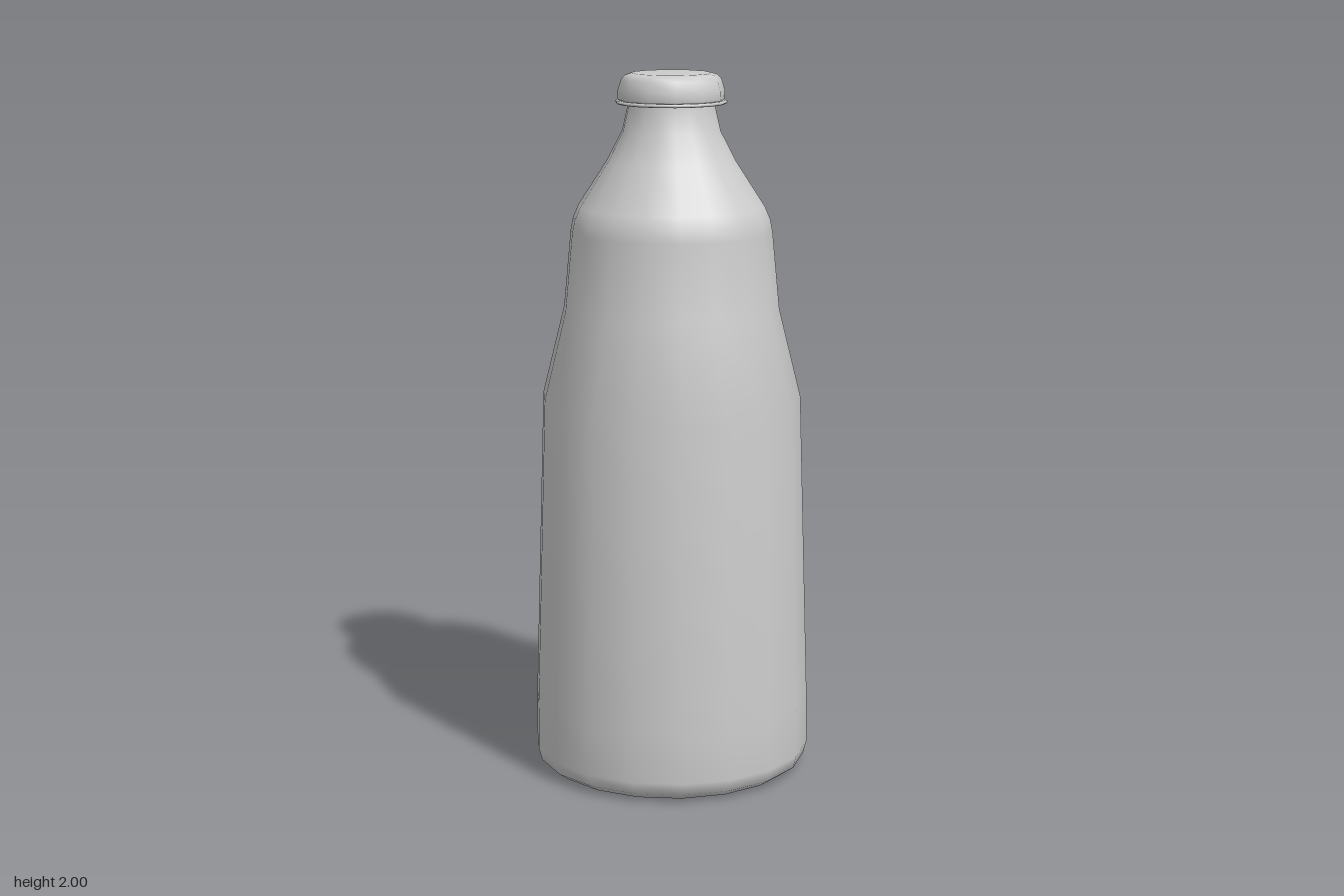
import * as THREE from 'three';

const material = new THREE.MeshStandardMaterial({ color: 0xcccccc });

// Turns a [radius, height] profile, listed from bottom to top, about the y axis
function lathe(name, profile, sides) {
  const points = profile.map(([r, y]) => new THREE.Vector2(r, y));
  const mesh = new THREE.Mesh(new THREE.LatheGeometry(points, sides), material);
  mesh.name = name;
  return mesh;
}

export function createModel() {
  const group = new THREE.Group();
  group.name = 'bottle';

  // Bottle: flat base, tapered body, waisted grip, shoulder and neck
  group.add(lathe('body', [
    [0, 0], [0.33, 0], [0.36, 0.005], [0.388, 0.025], [0.397, 0.06], [0.396, 0.2],
    [0.368, 1.09], [0.306, 1.34], [0.285, 1.56], [0.278, 1.595], [0.263, 1.63],
    [0.182, 1.755], [0.138, 1.84], [0.122, 1.91], [0.12, 1.95],
  ], 18));

  // Thin lip under the cap
  group.add(lathe('capRim', [
    [0.11, 1.915], [0.152, 1.915], [0.156, 1.918], [0.156, 1.922], [0.152, 1.925], [0.11, 1.925],
  ], 18));

  // Rounded cap with fewer sides than the bottle
  group.add(lathe('cap', [
    [0.11, 1.922], [0.146, 1.922], [0.15, 1.93], [0.149, 1.955],
    [0.14, 1.983], [0.128, 1.995], [0.112, 2], [0, 2],
  ], 12));

  return group;
}
